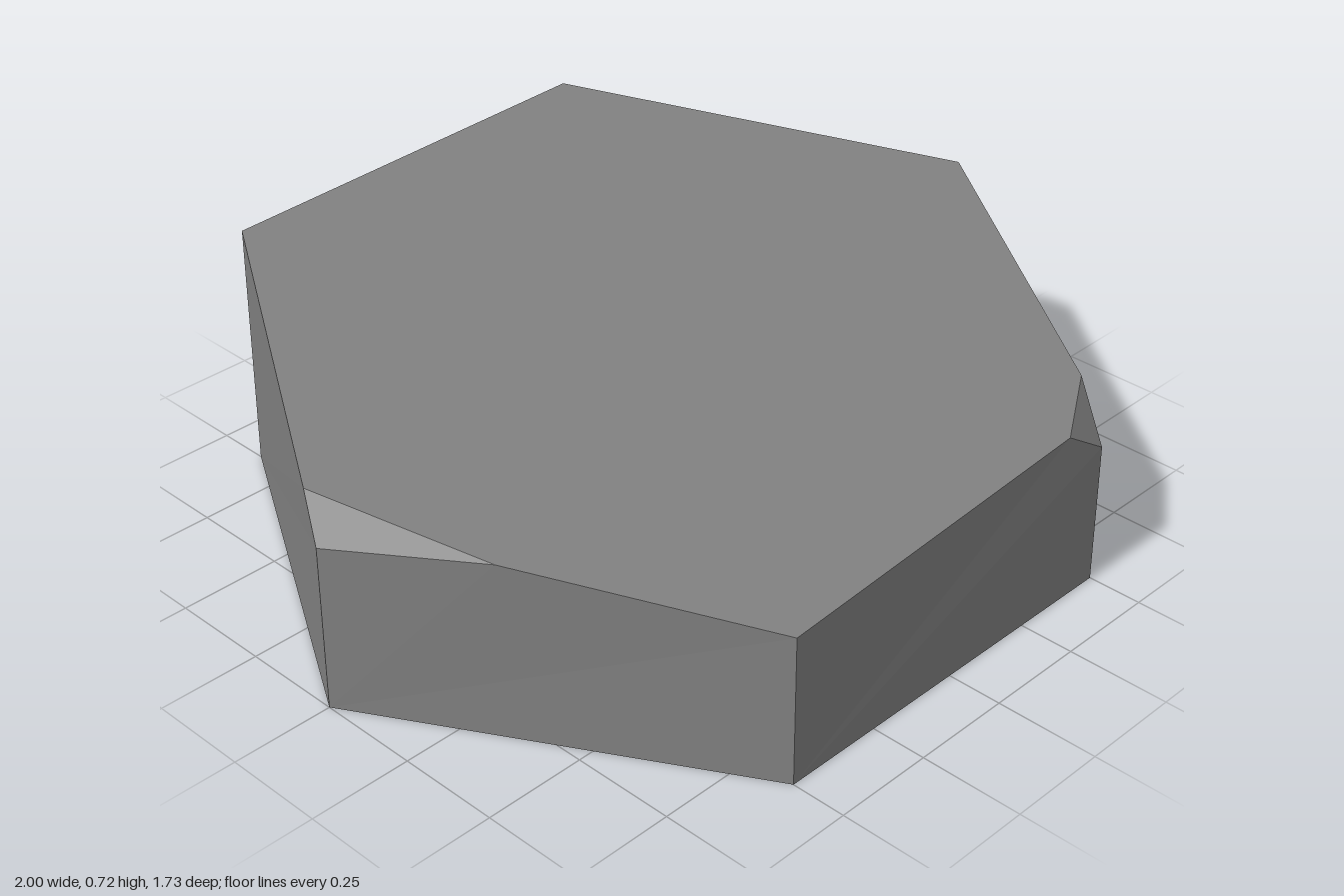
import * as THREE from 'three';

// Height of the sloping top plane
const slope = (x, z) => [x, 0.555 + 0.072 * x - 0.18 * z, z];

// Flat-sided geometry from convex polygons, corners counter-clockwise from outside
function facets(polygons) {
  const pos = [];
  for (const p of polygons)
    for (let i = 1; i < p.length - 1; i++) pos.push(...p[0], ...p[i], ...p[i + 1]);
  const g = new THREE.BufferGeometry();
  g.setAttribute('position', new THREE.Float32BufferAttribute(pos, 3));
  g.computeVertexNormals();
  return g;
}

export function createModel() {
  const group = new THREE.Group();
  group.name = 'hexagonalStone';
  const stoneGrey = new THREE.MeshStandardMaterial({ color: 0x808080 });
  stoneGrey.name = 'stoneGrey';

  // Hexagonal foot, starting at the front right corner and going round
  const b = [];
  for (let i = 0; i < 6; i++) {
    const a = Math.PI / 6 + (i * Math.PI) / 3;
    b.push([Math.sin(a), 0, Math.cos(a)]);
  }
  // Upper ends of the upright edges
  const s = [[0.5, 0.35, 0.862], [1, 0.53, 0], [0.5, 0.605, -0.84], [-0.5, 0.575, -0.857], [-1, 0.41, 0]];
  // Outline of the tilted top
  const t = [
    [0.38, 0.858], [0.56, 0.75], [0.945, 0.08], [0.42, -0.75],
    [-0.54, -0.8], [-0.96, -0.08], [-0.81, 0.33], [-0.495, 0.858],
  ].map(([x, z]) => slope(x, z));

  const parts = {
    top: [t],
    walls: [
      [b[0], b[1], s[1], t[2], t[1], s[0]],
      [b[1], b[2], s[2], s[1]],
      [b[2], b[3], s[3], s[2]],
      [b[3], b[4], s[4], t[5], t[4], s[3]],
      [b[4], b[5], t[7], t[6], s[4]],
      [b[5], b[0], s[0], t[0], t[7]],
    ],
    // Two long chamfers at the back and two chipped corners
    chamfers: [
      [s[1], s[2], t[3], t[2]],
      [s[2], s[3], t[4], t[3]],
      [s[0], t[1], t[0]],
      [s[4], t[6], t[5]],
    ],
    underside: [[...b].reverse()],
  };
  for (const [name, polygons] of Object.entries(parts)) {
    const mesh = new THREE.Mesh(facets(polygons), stoneGrey);
    mesh.name = name;
    group.add(mesh);
  }
  return group;
}
